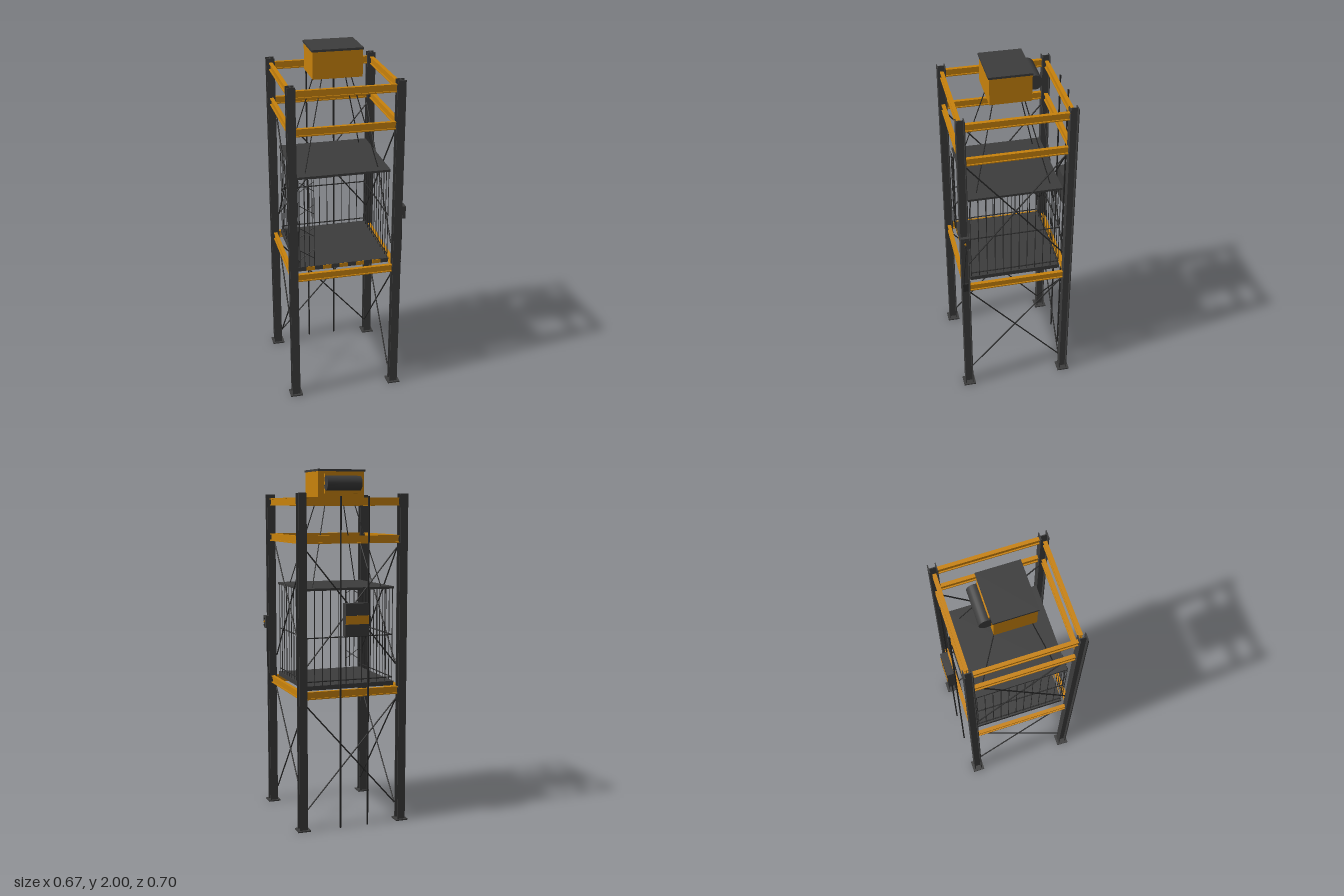
import * as THREE from 'three';

const mat = (name, color) => {
  const m = new THREE.MeshStandardMaterial({ color });
  m.name = name;
  return m;
};

export function createModel() {
  const root = new THREE.Group();
  root.name = 'freightLift';
  const steel = mat('dark steel', 0x3c3c3c);
  const bar = mat('black steel', 0x2c2c2c);
  const yellow = mat('safety amber', 0xc8820c);

  const CX = -0.006, CZ = 0.0165, H = 0.295; // shaft centre and half post spacing

  const group = (name, parent = root) => {
    const g = new THREE.Group();
    g.name = name;
    parent.add(g);
    return g;
  };
  const add = (parent, name, geo, m) => {
    const mesh = new THREE.Mesh(geo, m);
    mesh.name = name;
    parent.add(mesh);
    return mesh;
  };
  // box given by its extents
  const box = (parent, name, m, x0, x1, y0, y1, z0, z1) => {
    const b = add(parent, name, new THREE.BoxGeometry(x1 - x0, y1 - y0, z1 - z0), m);
    b.position.set((x0 + x1) / 2, (y0 + y1) / 2, (z0 + z1) / 2);
    return b;
  };
  // round rod between two points
  const rod = (parent, name, m, a, b, r, sides = 8) => {
    const p = new THREE.Vector3(...a), q = new THREE.Vector3(...b);
    const d = q.clone().sub(p);
    const mesh = add(parent, name, new THREE.CylinderGeometry(r, r, d.length(), sides), m);
    mesh.position.copy(p).add(q).multiplyScalar(0.5);
    mesh.quaternion.setFromUnitVectors(new THREE.Vector3(0, 1, 0), d.normalize());
    return mesh;
  };
  // I-section: flanges across x, web along y, extruded along z
  const iBeam = (w, h, flange, web, length) => {
    const a = w / 2, b = h / 2, c = web / 2, f = b - flange;
    const pts = [[-a, -b], [a, -b], [a, -f], [c, -f], [c, f], [a, f],
      [a, b], [-a, b], [-a, f], [-c, f], [-c, -f], [-a, -f]];
    const shape = new THREE.Shape(pts.map(p => new THREE.Vector2(...p)));
    return new THREE.ExtrudeGeometry(shape, { depth: length, bevelEnabled: false })
      .translate(0, 0, -length / 2);
  };

  // Corner posts on base plates
  const posts = group('cornerPosts');
  const postGeo = iBeam(0.046, 0.046, 0.005, 0.005, 1.86).rotateX(Math.PI / 2);
  for (const sx of [-1, 1]) for (const sz of [-1, 1]) {
    const x = CX + sx * H, z = CZ + sz * H;
    add(posts, 'post', postGeo, steel).position.set(x, 0.935, z);
    box(posts, 'basePlate', steel, x - 0.036, x + 0.036, 0, 0.007, z - 0.036, z + 0.036);
  }

  // Three rings of amber beams
  const beams = group('ringBeams');
  const beamGeo = iBeam(0.021, 0.043, 0.006, 0.006, 0.543);
  for (const y of [0.764, 1.616, 1.821]) for (const s of [-1, 1]) {
    add(beams, 'sideBeam', beamGeo, yellow).position.set(CX + s * H, y, CZ);
    const b = add(beams, 'crossBeam', beamGeo, yellow);
    b.position.set(CX, y, CZ + s * H);
    b.rotation.y = Math.PI / 2;
  }

  // Crossed bracing on left, right and back
  const braces = group('crossBraces');
  const E = 0.272;
  for (const [y0, y1] of [[0.095, 0.71], [0.91, 1.57]]) for (const s of [-1, 1]) {
    const o = s * 0.002;
    for (const side of [-1, 1]) {
      const x = CX + side * E + o;
      rod(braces, 'sideBrace', bar, [x, y0, CZ - s * E], [x, y1, CZ + s * E], 0.004);
    }
    rod(braces, 'backBrace', bar, [CX - s * E, y0, CZ - E + o], [CX + s * E, y1, CZ - E + o], 0.004);
  }

  // Lift cage: deck, roof, bar walls
  const cage = group('cage');
  const L = -0.269, R = 0.256, B = -0.244, F = 0.277;
  box(cage, 'deck', steel, L, R, 0.785, 0.81, B, F);
  box(cage, 'roof', steel, L, R, 1.337, 1.35, B, F);
  const stripes = 11, sw = (R - L) / stripes;
  for (let i = 1; i < stripes; i += 2)
    box(cage, 'edgeStripe', yellow, L + i * sw, L + (i + 1) * sw, 0.786, 0.809, F, F + 0.003);
  const l = L + 0.007, r = R - 0.007, b = B + 0.007, f = F - 0.007, n = 11;
  for (let i = 0; i <= n; i++) {
    const x = l + (r - l) * i / n, z = b + (f - b) * i / n;
    rod(cage, 'backBar', bar, [x, 0.81, b], [x, 1.338, b], 0.0022, 6);
    for (const sx of [l, r])
      rod(cage, 'sideBar', bar, [sx, 0.81, z], [sx, 1.338, z], 0.0022, 6);
  }
  for (const y of [0.832, 1.076]) {
    rod(cage, 'backRail', bar, [l, y, b], [r, y, b], 0.0035, 6);
    for (const sx of [l, r]) rod(cage, 'sideRail', bar, [sx, y, b], [sx, y, f], 0.0035, 6);
  }

  // Folded scissor gate at the front left of the opening
  const gate = group('foldingGate');
  const g0 = -0.258, g1 = -0.176, gz = 0.284;
  for (let i = 0; i < 4; i++) {
    const x = g0 + (g1 - g0) * i / 3;
    rod(gate, 'gateBar', bar, [x, 0.815, gz], [x, 1.335, gz], 0.002, 6);
    const y = 0.89 + i * 0.135;
    for (const s of [-1, 1])
      rod(gate, 'gateLink', bar, [g0, y - s * 0.028, gz], [g1, y + s * 0.028, gz], 0.002, 6);
  }

  // Hoist housing with motor drum on the back
  const hoist = group('hoist');
  box(hoist, 'housing', yellow, -0.143, 0.131, 1.84, 1.99, -0.096, 0.129);
  box(hoist, 'housingLid', steel, -0.148, 0.134, 1.988, 2, -0.102, 0.134);
  box(hoist, 'motorMount', yellow, -0.1, 0.095, 1.865, 1.975, -0.107, -0.095);
  rod(hoist, 'motor', steel, [-0.109, 1.923, -0.12], [0.095, 1.923, -0.12], 0.041, 24);

  // Suspension ropes
  const ropes = group('hoistRopes');
  for (const sx of [-1, 1]) for (const sz of [-1, 1])
    rod(ropes, 'rope', bar, [CX + sx * 0.08, 1.842, CZ + sz * 0.08],
      [CX + sx * 0.205, 1.348, CZ + sz * 0.205], 0.003);

  // Counterweight running on two rear rails
  const weight = group('counterweight');
  for (const x of [-0.088, 0.075])
    box(weight, 'guideRail', bar, x - 0.004, x + 0.004, 0, 1.85, -0.311, -0.303);
  box(weight, 'weightBlock', steel, -0.074, 0.061, 1.092, 1.272, -0.348, -0.307);
  box(weight, 'weightBand', yellow, -0.074, 0.061, 1.158, 1.205, -0.35, -0.348);

  // Control box with buttons and conduit on the front left-hand post
  const control = group('controlStation');
  box(control, 'controlBox', steel, 0.312, 0.331, 1.075, 1.148, 0.287, 0.336);
  [1.092, 1.112, 1.132].forEach((y, i) =>
    rod(control, 'button', i === 1 ? yellow : bar, [0.33, y, 0.312], [0.337, y, 0.312], 0.005, 12));
  const path = new THREE.CatmullRomCurve3([[0.318, 1.08, 0.306], [0.317, 0.98, 0.314],
    [0.314, 0.88, 0.322], [0.31, 0.79, 0.325]].map(p => new THREE.Vector3(...p)));
  add(control, 'conduit', new THREE.TubeGeometry(path, 16, 0.0035, 8), bar);
  box(control, 'junctionBox', bar, 0.303, 0.314, 0.755, 0.81, 0.3, 0.33);

  return root;
}
